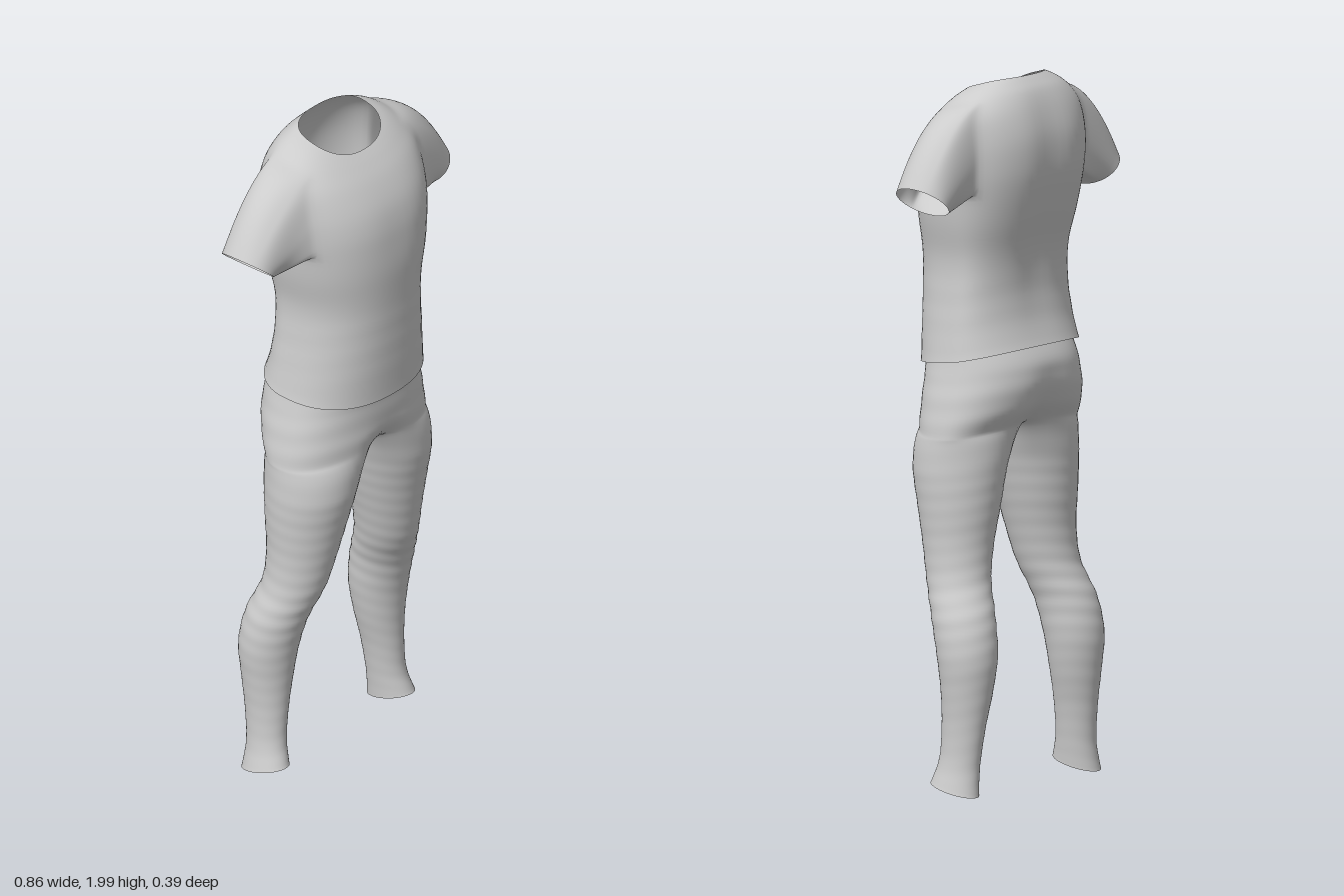
import * as THREE from 'three';

const N = 64; // columns around a body ring, starting at the left side (+x) and turning to the front

// Smooth (Catmull-Rom) interpolation between the rows of a section table
function sample(rows, t) {
  const i = Math.min(Math.floor(t), rows.length - 2), f = t - i;
  const row = (k) => rows[Math.max(0, Math.min(rows.length - 1, k))];
  const [a, b, c, d] = [row(i - 1), row(i), row(i + 1), row(i + 2)];
  return b.map((p, k) => p + 0.5 * f * (c[k] - a[k]
    + f * (2 * a[k] - 5 * p + 4 * c[k] - d[k] + f * (3 * (p - c[k]) + d[k] - a[k]))));
}

// Collects shared points and quads, then relaxes them into one smooth skin
class Skin {
  points = [];
  quads = [];
  add(p) { return this.points.push(p) - 1; }
  ring(list) { return list.map((p) => this.add(p)); }
  // Joins two closed rings; columns for which skip(k) is true stay open
  join(r0, r1, skip = () => false) {
    r0.forEach((id, k) => {
      const n = (k + 1) % r0.length;
      if (!skip(k)) this.quads.push([id, r1[k], r1[n], r0[n]]);
    });
  }
  relax(passes) {
    const near = this.points.map(() => new Map());
    for (const q of this.quads) q.forEach((a, i) => {
      const b = q[(i + 1) % 4];
      near[a].set(b, (near[a].get(b) || 0) + 1);
      near[b].set(a, (near[b].get(a) || 0) + 1);
    });
    for (let n = 0; n < passes; n++) {
      this.points = this.points.map((p, i) => {
        const links = [...near[i]];
        if (!links.length || links.some(([, uses]) => uses === 1)) return p; // open edges stay put
        const mid = new THREE.Vector3();
        links.forEach(([b]) => mid.addScaledVector(this.points[b], 1 / links.length));
        return p.clone().lerp(mid, 0.5);
      });
    }
  }
  mesh(name) {
    const g = new THREE.BufferGeometry().setFromPoints(this.points);
    g.setIndex(this.quads.flatMap(([a, b, c, d]) => [a, b, c, a, c, d]));
    g.computeVertexNormals();
    const m = new THREE.Mesh(g, new THREE.MeshStandardMaterial({
      color: 0xcccccc, roughness: 0.8, side: THREE.DoubleSide }));
    m.name = name;
    return m;
  }
}

// Body ring from [yFront, yBack, ySide, halfWidth, zFront, zBack, grooveFront, grooveBack]
function bodyRing([yF, yB, yS, hw, zF, zB, gF, gB], zC, ripple = 0) {
  const soft = (v) => Math.sign(v) * Math.abs(v) ** 0.87;
  return Array.from({ length: N }, (_, k) => {
    const a = k / N * Math.PI * 2, s = Math.sin(a);
    const y = (yF + yB) / 2 + (yF - yB) / 2 * s + (yS - (yF + yB) / 2) * (1 - s * s);
    const r = 1 + ripple * Math.sin(y * 85 + 1.5 * Math.sin(2 * a + 1));
    const x = hw * soft(Math.cos(a)) * r;
    const groove = (s > 0 ? -gF : gB) * Math.exp(-((x / 0.05) ** 2));
    return new THREE.Vector3(x, y, zC + soft(Math.abs(s)) * (s > 0 ? zF - zC : zB - zC) * r + groove);
  });
}

function createShirt() {
  const rows = [
    [1.19, 1.25, 1.215, 0.25, 0.18, -0.175, 0, 0],
    [1.29, 1.32, 1.30, 0.238, 0.186, -0.15, 0, 0.004],
    [1.40, 1.41, 1.40, 0.226, 0.19, -0.137, 0, 0.008],
    [1.50, 1.51, 1.50, 0.222, 0.193, -0.144, 0, 0.012],
    [1.60, 1.60, 1.60, 0.243, 0.199, -0.168, 0, 0.014],
    [1.68, 1.69, 1.69, 0.255, 0.197, -0.19, 0.003, 0.014],
    [1.74, 1.76, 1.755, 0.26, 0.19, -0.2, 0.004, 0.014],
    [1.80, 1.84, 1.82, 0.26, 0.171, -0.198, 0.002, 0.014],
    [1.86, 1.91, 1.89, 0.25, 0.135, -0.178, 0, 0.01],
    [1.90, 1.96, 1.937, 0.212, 0.101, -0.152, 0, 0.004],
    [1.92, 1.985, 1.966, 0.168, 0.081, -0.127, 0, 0],
    [1.93, 2.0, 1.98, 0.13, 0.07, -0.11, 0, 0],
  ];
  const steps = 5, low = 5 * steps, high = 9 * steps, half = 5; // armhole rows and half its columns
  const skin = new Skin(), rings = [];
  for (let i = 0; i <= (rows.length - 1) * steps; i++) {
    const t = i / steps, folds = 0.009 * Math.exp(-((t - 1.7) ** 2));
    rings.push(skin.ring(bodyRing(sample(rows, t), -0.025, folds)));
  }
  const inHole = (k) => [0, N / 2, N].some((c) => k >= c - half && k < c + half);
  for (let i = 0; i + 1 < rings.length; i++)
    skin.join(rings[i], rings[i + 1], (k) => i >= low && i < high && inHole(k));

  // Sleeves grow from the edge of each armhole
  for (const [side, c] of [[1, 0], [-1, N / 2]]) {
    const at = (row, k) => rings[row][(c + k + N) % N], loop = [];
    for (let k = -half; k < half; k++) loop.push(at(low, k));
    for (let i = low; i < high; i++) loop.push(at(i, half));
    for (let k = half; k > -half; k--) loop.push(at(high, k));
    for (let i = high; i > low; i--) loop.push(at(i, -half));
    const base = loop.map((id) => skin.points[id]);
    let last = loop;
    for (let n = 1; n <= 16; n++) {
      const t = n / 16;
      const ring = skin.ring(base.map((p) => {
        const a = Math.atan2((p.z + 0.03) / 0.1, (p.y - 1.815) / 0.125);
        const up = Math.cos(a), lift = Math.max(0, up);
        const end = new THREE.Vector3(side * (0.376 + 0.054 * up), 1.685 + 0.045 * up, -0.034 + 0.083 * Math.sin(a));
        const bend = p.clone().lerp(end, 0.5).add(new THREE.Vector3(side * 0.012 * lift, 0.085 * lift, 0));
        return new THREE.QuadraticBezierCurve3(p, bend, end).getPoint(t);
      }));
      skin.join(last, ring);
      last = ring;
    }
  }
  skin.relax(4);
  return skin.mesh('shirt');
}

function createTrousers() {
  const hips = [ // from crotch to waist
    [1.03, 1.03, 1.0, 0.28, 0.156, -0.14, 0.045, 0.04],
    [1.07, 1.075, 1.05, 0.273, 0.158, -0.172, 0.012, 0.028],
    [1.11, 1.12, 1.10, 0.263, 0.158, -0.187, 0.002, 0.016],
    [1.16, 1.165, 1.15, 0.251, 0.158, -0.19, 0, 0.008],
    [1.20, 1.21, 1.20, 0.239, 0.161, -0.182, 0, 0],
    [1.25, 1.26, 1.25, 0.23, 0.165, -0.155, 0, 0],
  ];
  const legs = [ // [y, xInner, xOuter, zFront, zBack]
    [1.0, 0.004, 0.281, 0.155, -0.135],
    [0.9, 0.032, 0.286, 0.143, -0.125],
    [0.8, 0.057, 0.282, 0.121, -0.116],
    [0.7, 0.084, 0.277, 0.099, -0.106],
    [0.6, 0.11, 0.283, 0.075, -0.112],
    [0.5, 0.138, 0.309, 0.036, -0.149],
    [0.4, 0.151, 0.317, 0.009, -0.166],
    [0.3, 0.169, 0.308, -0.005, -0.157],
    [0.2, 0.192, 0.301, -0.01, -0.142],
    [0.1, 0.207, 0.304, -0.007, -0.131],
    [0.025, 0.214, 0.322, 0.013, -0.137],
  ];
  const skin = new Skin(), rings = [];
  for (let i = 0; i <= 25; i++)
    rings.push(skin.ring(bodyRing(sample(hips, i / 5), -0.01, i > 0 && i < 18 ? 0.004 : 0)));
  for (let i = 0; i < 25; i++) skin.join(rings[i], rings[i + 1]);

  // Crotch seam, shared by both legs
  const crotchRing = rings[0], M = 10;
  const front = skin.points[crotchRing[N / 4]], back = skin.points[crotchRing[3 * N / 4]];
  const seam = [];
  for (let i = 1; i < M; i++) {
    const p = front.clone().lerp(back, i / M);
    p.y -= 0.03 * Math.sin(Math.PI * i / M);
    seam.push(skin.add(p));
  }

  // Legs
  const H = N / 2, reach = 140 * Math.PI / 180;
  for (const side of [1, -1]) {
    const top = [];
    for (let j = 0; j <= H; j++) top.push(crotchRing[(j - side * N / 4 + N) % N]);
    top.push(...(side > 0 ? seam : [...seam].reverse()));
    const base = top.map((id) => skin.points[id]);
    let last = top;
    for (let n = 1; n <= 100; n++) {
      const t = n / 10, [y, xi, xo, zf, zb] = sample(legs, t);
      const blend = Math.sin(Math.min(1, t) * Math.PI / 2);
      // Cloth folds gather at the knee and along the shin
      const fold = 0.006 + 0.016 * Math.exp(-(((y - 0.53) / 0.09) ** 2));
      const tilt = 0.02 * Math.max(0, 1 - y / 0.2);
      const ring = skin.ring(base.map((p, j) => {
        const a = j <= H ? -reach + 2 * reach * j / H : reach + (2 * Math.PI - 2 * reach) * (j - H) / M;
        const s = side * Math.sin(a);
        const r = 1 + (n < 97 ? fold : 0) * Math.sin(y * 125 + 2 * Math.cos(a) + 1.4 * s);
        const target = new THREE.Vector3(
          side * ((xi + xo) / 2 + (xo - xi) / 2 * Math.cos(a) * r),
          y + tilt * s,
          (zf + zb) / 2 + (zf - zb) / 2 * s * r);
        return p.clone().lerp(target, blend);
      }));
      skin.join(ring, last);
      last = ring;
    }
  }
  skin.relax(3);
  return skin.mesh('trousers');
}

export function createModel() {
  const model = new THREE.Group();
  model.name = 'outfit';
  model.add(createShirt(), createTrousers());
  return model;
}
